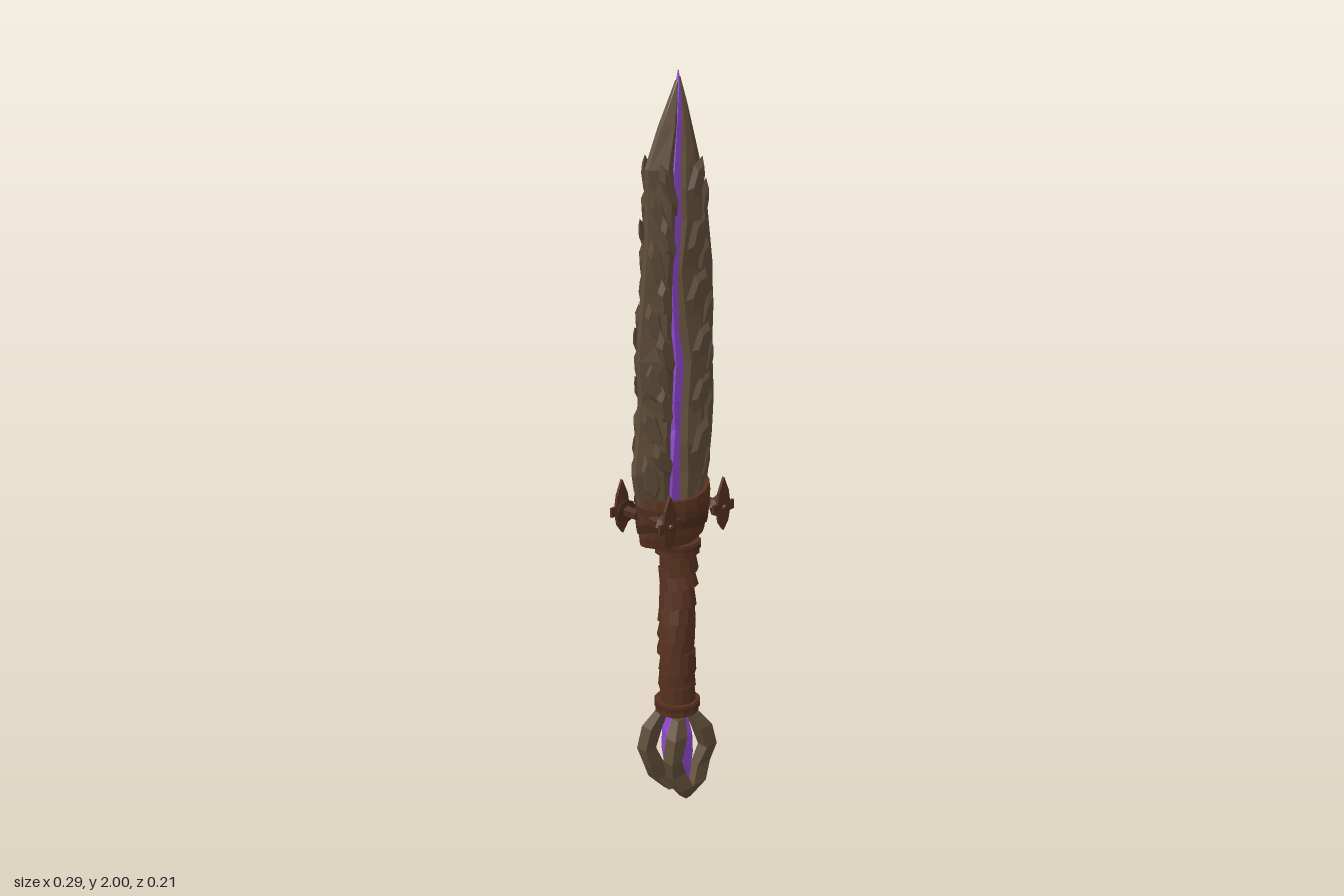
import * as THREE from 'three';
import { mergeGeometries } from 'three/addons/utils/BufferGeometryUtils.js';

const material = (name, color) => {
  const m = new THREE.MeshStandardMaterial({ color, flatShading: true });
  m.name = name;
  return m;
};

let seed = 7;
const jitter = (amount) => {
  seed = (seed * 16807) % 2147483647;
  return (seed / 2147483647 - 0.5) * 2 * amount;
};

// Closed solid through rings of [x, y, z], each counter-clockwise seen from above
function loft(rings) {
  const pos = [];
  const n = rings[0].length;
  const tri = (a, b, c) => pos.push(...a, ...b, ...c);
  for (let i = 0; i < rings.length - 1; i++) {
    for (let j = 0; j < n; j++) {
      const k = (j + 1) % n;
      tri(rings[i][j], rings[i][k], rings[i + 1][k]);
      tri(rings[i][j], rings[i + 1][k], rings[i + 1][j]);
    }
  }
  const low = rings[0], high = rings[rings.length - 1];
  for (let j = 1; j < n - 1; j++) {
    tri(low[0], low[j + 1], low[j]);
    tri(high[0], high[j], high[j + 1]);
  }
  const g = new THREE.BufferGeometry();
  g.setAttribute('position', new THREE.Float32BufferAttribute(pos, 3));
  g.computeVertexNormals();
  return g;
}

// Six-sided ring with flat front and back
const hexRing = (x, y, w, d) => [[1, 0], [0.4, -1], [-0.4, -1], [-1, 0], [-0.4, 1], [0.4, 1]]
  .map(([a, b]) => [x + a * w, y, b * d]);

// Blade halves: y, outer x, inner x, half thickness
const bladeRows = {
  right: [[0.85, 0.115, 0.02, 0.04], [0.98, 0.133, 0.022, 0.045], [1.06, 0.143, 0.012, 0.053], [1.16, 0.149, 0.022, 0.044],
    [1.28, 0.142, 0.026, 0.052], [1.4, 0.143, 0.012, 0.043], [1.52, 0.139, 0.002, 0.037], [1.64, 0.122, 0.014, 0.046],
    [1.72, 0.11, 0.01, 0.044], [1.82, 0.078, 0.02, 0.033], [1.92, 0.045, 0.022, 0.018], [1.985, 0.025, 0.02, 0.004]],
  left: [[0.85, -0.11, -0.052, 0.04], [1.0, -0.142, -0.046, 0.047], [1.1, -0.128, -0.048, 0.05], [1.2, -0.118, -0.036, 0.044],
    [1.3, -0.124, -0.036, 0.051], [1.36, -0.119, -0.042, 0.047], [1.47, -0.106, -0.033, 0.038], [1.6, -0.093, -0.03, 0.044],
    [1.7, -0.089, -0.026, 0.045], [1.77, -0.09, -0.028, 0.037], [1.87, -0.043, -0.006, 0.025], [1.975, 0.012, 0.015, 0.005]],
};

function bladeHalf(rows, side) {
  return loft(rows.map(([y, xo, xi, t]) => {
    const xm = xi + (xo - xi) * (0.35 + jitter(0.08));
    const e = Math.min(0.007, t * 0.5);
    const ring = [[xo, y, -e], [xm, y, -t], [xi, y, -t * 0.82], [xi, y, t * 0.82], [xm, y, t], [xo, y, e]];
    return side < 0 ? ring.reverse() : ring;
  }));
}

// Overlapping stone scales on both faces of a blade half
function bladeScales(rows, side) {
  const list = [];
  for (let y = 0.98, n = 0; y < 1.78; y += 0.068, n++) {
    const i = rows.findIndex((r) => r[0] > y);
    const f = (y - rows[i - 1][0]) / (rows[i][0] - rows[i - 1][0]);
    const [xo, xi, t] = [1, 2, 3].map((k) => THREE.MathUtils.lerp(rows[i - 1][k], rows[i][k], f));
    const w = Math.abs(xo - xi);
    const slope = Math.atan((t - 0.007) / (0.65 * w));
    for (const face of [1, -1]) {
      const v = n % 2 ? 0.36 : 0.66;
      const g = new THREE.CylinderGeometry(0.65, 1, 1, 6);
      g.rotateX(face * Math.PI / 2);
      g.scale(w * 0.29, 0.068 + jitter(0.01), 0.012);
      g.rotateX(face * 0.06);
      g.rotateZ(side * (-0.35 + jitter(0.2)));
      g.rotateY(side * face * (v < 0.5 ? slope * 0.35 : slope));
      const z = v < 0.5 ? t * 0.98 : 0.007 + (t - 0.007) * (1 - v) / 0.65;
      g.translate(xi + (xo - xi) * v, y + jitter(0.012), face * z);
      list.push(g);
    }
  }
  return mergeGeometries(list);
}

// Lens-shaped leather band, gently wavy along its rim
function guardBand(y0, y1, rx, rz, inner, wave) {
  const profile = [[1, y0], [1.03, (y0 + y1) / 2], [1, y1], [inner, y1], [inner, y0], [1, y0]];
  const g = new THREE.LatheGeometry(profile.map(([r, y]) => new THREE.Vector2(r, y)), 20);
  const p = g.attributes.position;
  for (let i = 0; i < p.count; i++) {
    const a = Math.atan2(p.getZ(i), p.getX(i));
    p.setXYZ(i, p.getX(i) * rx, p.getY(i) + wave * Math.sin(2 * a + 0.6),
      p.getZ(i) * rz * Math.pow(Math.abs(Math.sin(a)), 0.5));
  }
  g.computeVertexNormals();
  return g;
}

export function createModel() {
  const model = new THREE.Group();
  const stone = material('stone', 0x5e4c38);
  const leather = material('leather', 0x55301e);
  const darkLeather = material('dark leather', 0x4a2a1b);
  const crystal = material('purple crystal', 0x8f49cf);
  const add = (name, geometry, mat, parent = model) => {
    const m = new THREE.Mesh(geometry, mat);
    m.name = name;
    parent.add(m);
    return m;
  };
  const cx = 0.018; // grip axis

  // Blade
  for (const [name, side] of [['right', 1], ['left', -1]]) {
    const label = side > 0 ? 'left' : 'right';
    add(label + 'BladeHalf', bladeHalf(bladeRows[name], side), stone);
    add(label + 'BladeScales', bladeScales(bladeRows[name], side), stone);
  }

  // Crystal core between the halves: y, centre x, half width, half depth
  const core = [[0.86, -0.015, 0.038, 0.026], [1.0, -0.014, 0.034, 0.028], [1.1, -0.006, 0.024, 0.026], [1.18, -0.01, 0.035, 0.03],
    [1.28, 0, 0.035, 0.028], [1.36, -0.01, 0.022, 0.026], [1.5, -0.017, 0.025, 0.025], [1.64, -0.006, 0.028, 0.026],
    [1.76, -0.004, 0.026, 0.022], [1.88, 0.01, 0.02, 0.015], [1.96, 0.019, 0.009, 0.007], [2, 0.02, 0.001, 0.001]];
  add('bladeCore', loft(core.map(([y, x, w, d]) => hexRing(x, y, w, d))), crystal);

  // Thin crystal line along one cutting edge
  add('edgeVein', loft(bladeRows.right.slice(1, 10).map(([y, x]) =>
    [[x + 0.002, y, -0.004], [x - 0.006, y, -0.004], [x - 0.006, y, 0.004], [x + 0.002, y, 0.004]])), crystal);

  // Guard wraps
  add('lowerGuardWrap', guardBand(0.797, 0.85, 0.117, 0.062, 0.3, 0.006), leather);
  add('middleGuardWrap', guardBand(0.838, 0.89, 0.122, 0.08, 0.6, -0.008), darkLeather);
  add('upperGuardWrap', guardBand(0.88, 0.935, 0.122, 0.09, 0.86, 0.009), leather);

  // Four leaf-shaped guard studs
  const leaf = new THREE.Shape([[0, 0.085], [-0.018, 0.045], [-0.026, 0], [-0.018, -0.04], [0, -0.065],
    [0.018, -0.04], [0.026, 0], [0.018, 0.045]].map(([x, y]) => new THREE.Vector2(x, y)));
  const leafGeometry = new THREE.ExtrudeGeometry(leaf, { depth: 0.008, bevelEnabled: false });
  const baseGeometry = new THREE.CylinderGeometry(0.022, 0.032, 0.018, 8).rotateX(Math.PI / 2);
  const postGeometry = new THREE.CylinderGeometry(0.016, 0.016, 0.05, 6).rotateX(Math.PI / 2);
  for (const sx of [1, -1]) {
    for (const sz of [1, -1]) {
      const stud = new THREE.Group();
      stud.name = 'guardStud';
      add('studPost', postGeometry, darkLeather, stud).position.z = 0.05;
      add('studBase', baseGeometry, darkLeather, stud).position.z = 0.078;
      add('studLeaf', leafGeometry, leather, stud).position.z = 0.085;
      add('studBar', new THREE.BoxGeometry(0.078, 0.026, 0.007), leather, stud).position.z = 0.09;
      add('studKnob', new THREE.SphereGeometry(0.009, 8, 6), darkLeather, stud).position.z = 0.095;
      stud.position.set(sx * 0.101, 0.875, 0);
      stud.position.z = 0;
      stud.rotation.y = sz > 0 ? 0 : Math.PI;
      model.add(stud);
    }
  }

  // Grip with overlapping, slightly tilted wraps
  add('gripCore', new THREE.CylinderGeometry(0.045, 0.045, 0.56, 12), darkLeather).position.set(cx, 0.56, 0);
  for (let i = 0; i < 9; i++) {
    const wrap = add('gripWrap', new THREE.CylinderGeometry(0.047, 0.053, 0.066, 12), leather);
    wrap.position.set(cx + jitter(0.002), 0.325 + i * 0.05, jitter(0.002));
    wrap.rotation.set(jitter(0.08), i * 0.7, 0.12 + jitter(0.08));
  }
  for (const [name, y] of [['upperCollar', 0.765], ['lowerCollar', 0.287]]) {
    add(name, new THREE.CylinderGeometry(0.062, 0.062, 0.034, 12), leather).position.set(cx, y, 0);
    add(name + 'Rim', new THREE.CylinderGeometry(0.066, 0.066, 0.012, 12), darkLeather).position.set(cx, y + 0.006, 0);
  }

  // Pommel crystal
  const gem = [[0.012, 0.005, 0.02], [0.05, 0.018, 0.04], [0.14, 0.05, 0.043], [0.2, 0.042, 0.043], [0.255, 0.02, 0.034]];
  add('pommelCrystal', loft(gem.map(([y, w, d]) => hexRing(cx, y, w, d))), crystal);
  add('pommelNeck', new THREE.CylinderGeometry(0.02, 0.02, 0.04, 6), crystal).position.set(cx, 0.26, 0);

  // Four stone claws: y, inner x, outer x, inner z, outer z
  const claw = [[0, -0.004, 0.01, 0.02, 0.045], [0.045, 0, 0.05, 0.03, 0.066], [0.095, 0.024, 0.075, 0.03, 0.058],
    [0.15, 0.05, 0.09, 0.034, 0.07], [0.215, 0.026, 0.074, 0.03, 0.066], [0.26, 0.012, 0.042, 0.02, 0.046]];
  for (const sx of [1, -1]) {
    for (const sz of [1, -1]) {
      add('pommelClaw', loft(claw.map(([y, xi, xo, zi, zo]) => {
        const ring = [[xo, zi], [xi, zi], [xi, zo], [xo, zo]].map(([x, z]) => [cx + sx * x, y, sz * z]);
        return sx * sz < 0 ? ring.reverse() : ring;
      })), stone);
    }
  }
  return model;
}
